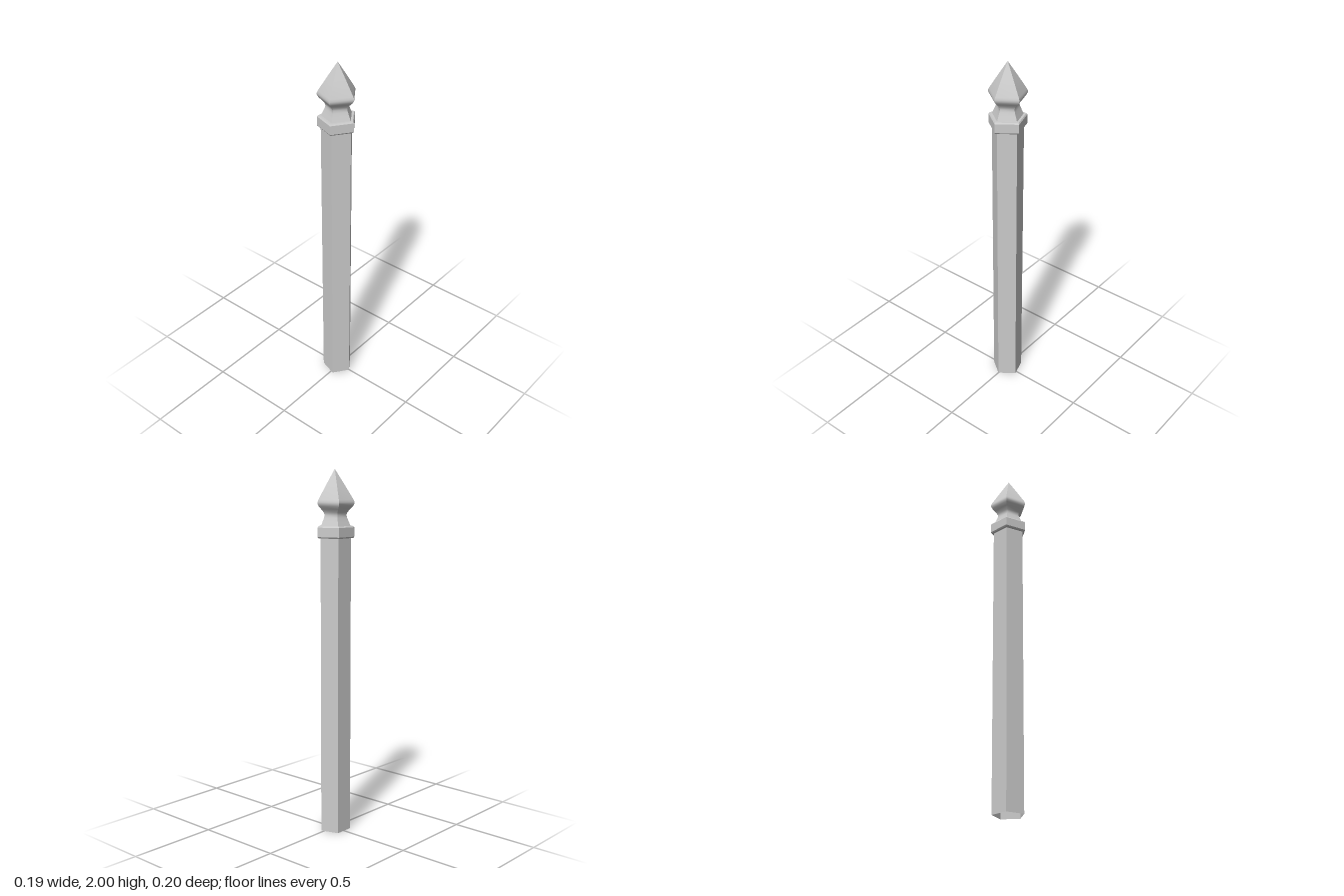
import * as THREE from 'three';
import { toCreasedNormals } from 'three/addons/utils/BufferGeometryUtils.js';

const SIDES = 5;
const AXIS_X = -0.011; // shifts the pentagon so its x extents are centred

// Turns a [radius, y] profile, listed upwards, into a five-sided prism-like part
// with one corner pointing to +x.
function fiveSided(name, profile, creaseDegrees, side = THREE.FrontSide) {
  const points = profile.map(([r, y]) => new THREE.Vector2(r, y));
  const lathe = new THREE.LatheGeometry(points, SIDES, Math.PI / 2);
  const geometry = toCreasedNormals(lathe, THREE.MathUtils.degToRad(creaseDegrees));
  const mesh = new THREE.Mesh(geometry, new THREE.MeshStandardMaterial({ color: 0xcccccc, side }));
  mesh.name = name;
  mesh.position.x = AXIS_X;
  return mesh;
}

export function createModel() {
  const group = new THREE.Group();
  group.name = 'fencePost';

  // Hollow shaft, open at the foot
  group.add(fiveSided('shaft', [[0.087, 0], [0.087, 1.645]], 30, THREE.DoubleSide));

  // Collar with small bevels
  group.add(fiveSided('collar', [
    [0.08, 1.638], [0.099, 1.638], [0.105, 1.645],
    [0.105, 1.695], [0.099, 1.702], [0.07, 1.702],
  ], 20));

  // Finial: flared foot, waist, rounded shoulder and point
  group.add(fiveSided('finial', [
    [0.086, 1.70], [0.076, 1.722], [0.066, 1.745], [0.062, 1.76], [0.067, 1.773],
    [0.083, 1.791], [0.098, 1.806], [0.105, 1.818], [0.105, 1.828], [0.1, 1.84],
    [0.052, 1.918], [0, 2],
  ], 45));

  return group;
}
